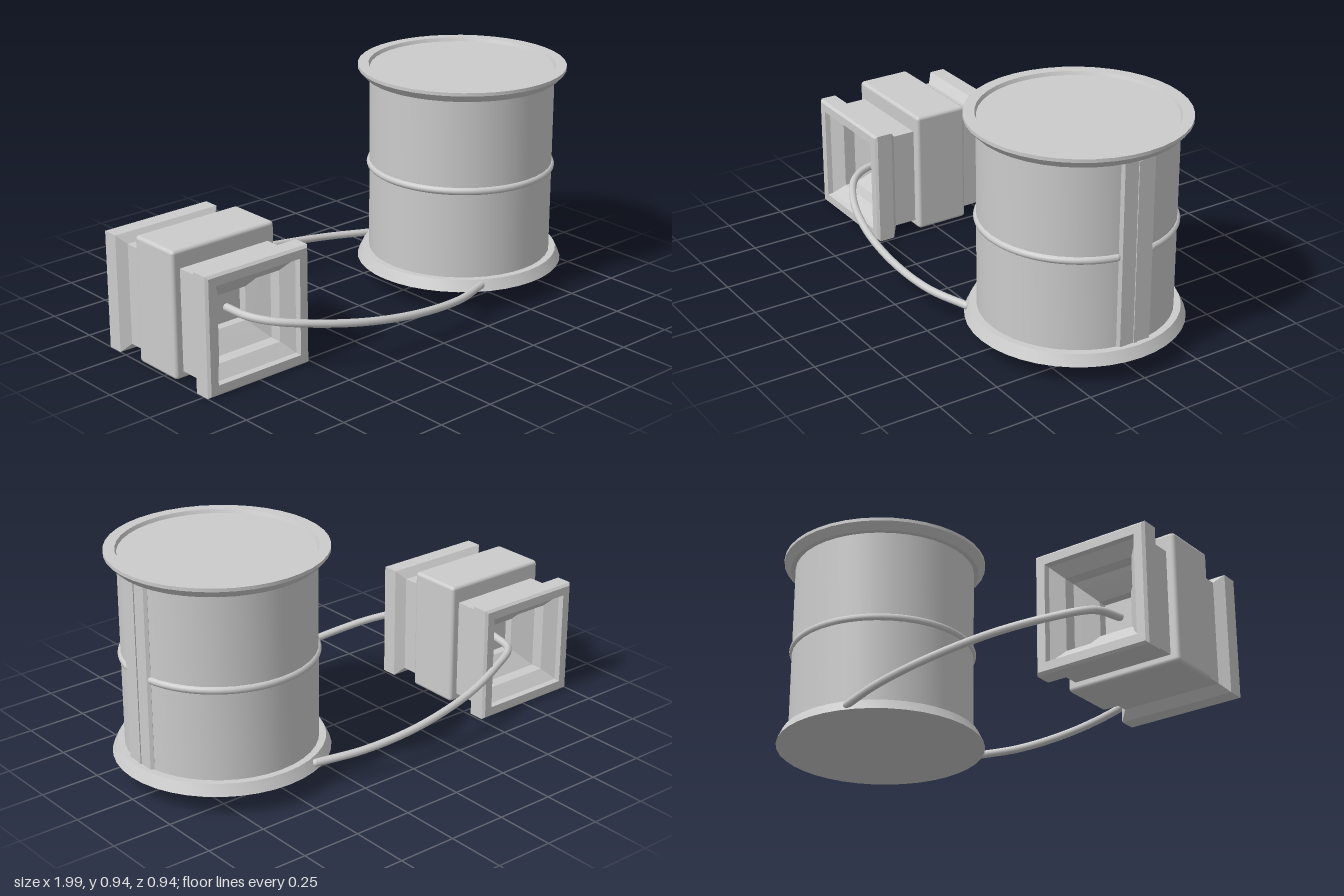
import * as THREE from 'three';
import { toCreasedNormals } from 'three/addons/utils/BufferGeometryUtils.js';
import { RoundedBoxGeometry } from 'three/addons/geometries/RoundedBoxGeometry.js';

const material = new THREE.MeshStandardMaterial({ color: 0xcccccc });

function add(parent, name, geometry, x = 0, y = 0, z = 0) {
  const mesh = new THREE.Mesh(geometry, material);
  mesh.name = name;
  mesh.position.set(x, y, z);
  parent.add(mesh);
  return mesh;
}

const points = (list) => list.map(([a, b]) => new THREE.Vector2(a, b));

// Square version of a lathe: profile of [half width, position along z]
function squareLathe(profile) {
  const pts = points(profile.map(([half, z]) => [half * Math.SQRT2, z]));
  const geometry = new THREE.LatheGeometry(pts, 4, Math.PI / 4).rotateX(Math.PI / 2);
  return toCreasedNormals(geometry, 0.2);
}

function buildDrum() {
  const drum = new THREE.Group();
  drum.name = 'drum';
  drum.position.set(0.56, 0, 0.013);

  // Body with flared foot, flared lid rim and shallow lid recess
  const shell = new THREE.LatheGeometry(points([
    [0, 0.09], [0.433, 0.09], [0.412, 0.135], [0.384, 0.135], [0.384, 0.895], [0.405, 0.895],
    [0.433, 0.926], [0.433, 0.94], [0.388, 0.94], [0.382, 0.925], [0, 0.925],
  ]), 40);
  add(drum, 'drumShell', toCreasedNormals(shell, 0.5));

  // Middle hoop, open at the seam
  const radius = 0.379, start = 0.22, end = Math.PI * 2 - 0.2;
  add(drum, 'hoop', new THREE.TorusGeometry(radius, 0.016, 10, 64, end - start)
    .rotateZ(start).rotateX(Math.PI / 2), 0, 0.51, 0);
  for (const a of [start, end]) {
    add(drum, 'hoopEnd', new THREE.SphereGeometry(0.016, 12, 8),
      Math.cos(a) * radius, 0.51, Math.sin(a) * radius);
  }

  // Seam strip with chamfered edges and a thin centre rib
  const strip = new THREE.Shape(points([[0.35, -0.077], [0.376, -0.077], [0.388, -0.068],
    [0.388, 0.068], [0.376, 0.077], [0.35, 0.077]]));
  const seam = new THREE.ExtrudeGeometry(strip, { depth: 0.76, bevelEnabled: false });
  add(drum, 'seamStrip', seam.rotateX(-Math.PI / 2), 0, 0.135, 0);
  add(drum, 'seamRib', new THREE.BoxGeometry(0.02, 0.75, 0.014), 0.382, 0.51, 0);
  return drum;
}

function buildBlock() {
  const block = new THREE.Group();
  block.name = 'block';
  block.position.set(-0.755, 0.246, -0.04);

  // One end: core, chamfered flange, rim, then the stepped funnel to its floor
  const endProfile = [
    [0.21, 0.215], [0.245, 0.245], [0.245, 0.312], [0.235, 0.322], [0.2, 0.322],
    [0.195, 0.3], [0.148, 0.26], [0.146, 0.21], [0.12, 0.19], [0.07, 0.15], [0.066, 0.12], [0, 0.12],
  ];
  const mirrored = endProfile.map(([half, z]) => [half, -z]).reverse();
  add(block, 'flangedCore', squareLathe([...mirrored, ...endProfile]));

  // Taller band round the middle
  add(block, 'middleBand', new RoundedBoxGeometry(0.49, 0.525, 0.235, 2, 0.015), 0, 0.0215, 0);
  return block;
}

function buildCable(path) {
  const curve = new THREE.CatmullRomCurve3(path.map((p) => new THREE.Vector3(...p)));
  const cable = new THREE.Group();
  cable.name = 'cable';
  add(cable, 'cableTube', new THREE.TubeGeometry(curve, 64, 0.016, 10, false));
  for (const p of [path[0], path[path.length - 1]]) {
    add(cable, 'cableEnd', new THREE.SphereGeometry(0.016, 12, 8), ...p);
  }
  return cable;
}

export function createModel() {
  const model = new THREE.Group();
  model.name = 'drumAndBlock';
  model.add(buildDrum(), buildBlock());

  // Two bowed cables from the funnels to the foot of the drum
  model.add(
    buildCable([[-0.755, 0.24, 0.08], [-0.745, 0.238, 0.2], [-0.69, 0.23, 0.29], [-0.55, 0.208, 0.375],
      [-0.35, 0.175, 0.432], [-0.1, 0.142, 0.453], [0.15, 0.122, 0.432], [0.335, 0.114, 0.37]]),
    buildCable([[-0.755, 0.245, -0.16], [-0.72, 0.24, -0.28], [-0.57, 0.222, -0.36], [-0.35, 0.192, -0.43],
      [-0.05, 0.153, -0.46], [0.2, 0.128, -0.437], [0.4, 0.114, -0.38]]),
  );
  return model;
}
